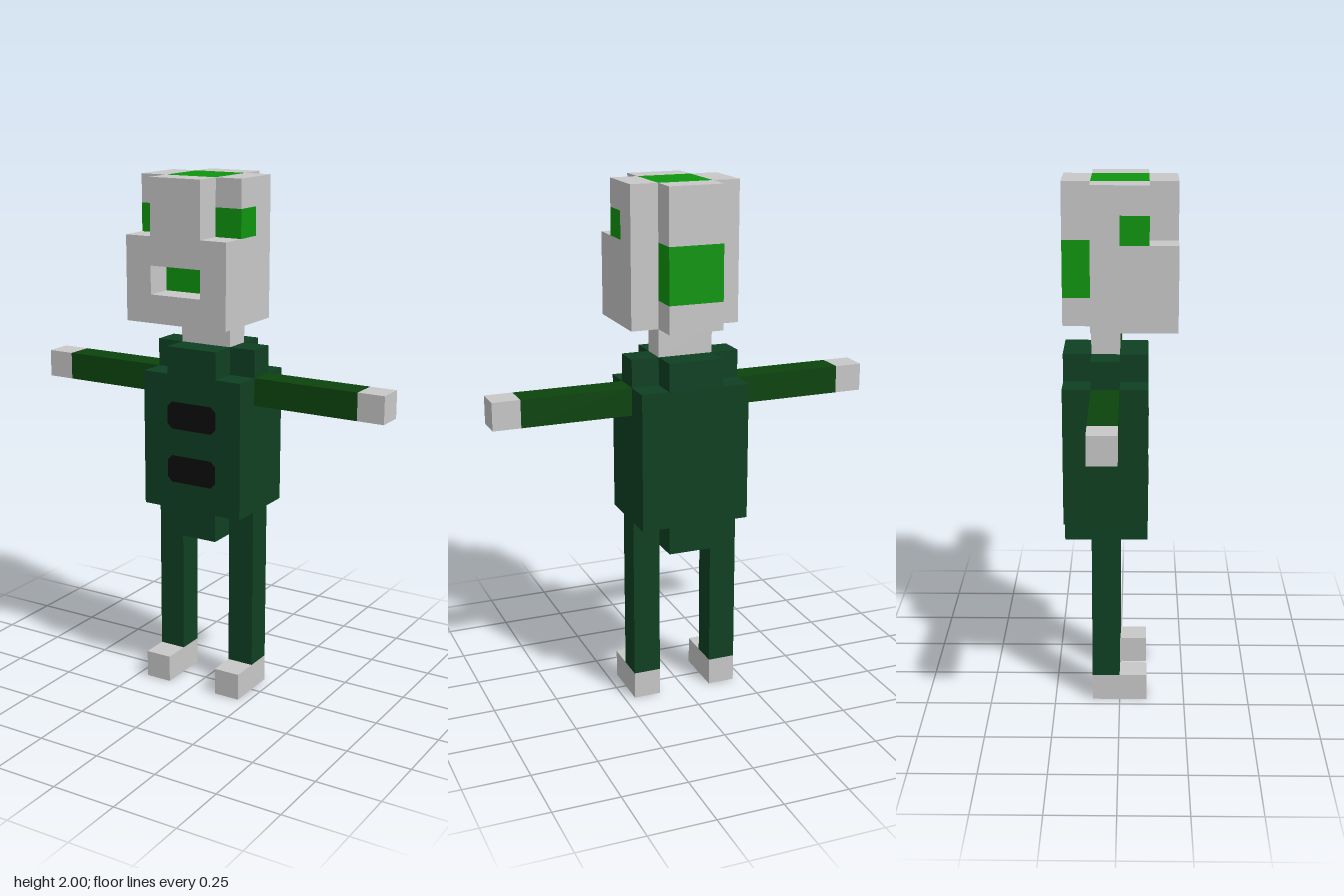
import * as THREE from 'three';

const U = 2 / 19; // one block; the figure is 19 blocks tall

const colour = (name, hex) => {
  const m = new THREE.MeshStandardMaterial({ color: hex });
  m.name = name;
  return m;
};

export function createModel() {
  const grey = colour('pale grey', 0xc8c8c8);
  const bright = colour('bright green', 0x0f960f);
  const suit = colour('dark teal green', 0x0f4022);
  const sleeve = colour('dark leaf green', 0x0c440e);
  const black = colour('black', 0x0d0d0f);
  const red = colour('red', 0xc02a10);

  const model = new THREE.Group();
  model.name = 'blockFigure';
  const part = (name) => {
    const g = new THREE.Group();
    g.name = name;
    model.add(g);
    return g;
  };

  // Box between two corners given in blocks
  const box = (parent, name, mat, [x0, x1], [y0, y1], [z0, z1]) => {
    const geo = new THREE.BoxGeometry((x1 - x0) * U, (y1 - y0) * U, (z1 - z0) * U);
    const mesh = new THREE.Mesh(geo, mat);
    mesh.name = name;
    mesh.position.set(((x0 + x1) / 2) * U, ((y0 + y1) / 2) * U, ((z0 + z1) / 2) * U);
    parent.add(mesh);
  };
  // The same box on both sides
  const pair = (parent, name, mat, [x0, x1], y, z) => {
    box(parent, name + 'Left', mat, [x0, x1], y, z);
    box(parent, name + 'Right', mat, [-x1, -x0], y, z);
  };

  // Legs and feet
  const legs = part('legs');
  pair(legs, 'foot', grey, [1, 2], [0, 1], [-1, 1]);
  pair(legs, 'leg', suit, [1, 2], [1, 7], [-1, 0]);

  // Torso with notched corners at the hips and shoulders
  const torso = part('torso');
  box(torso, 'hipFront', suit, [-1, 1], [6, 7], [0, 1]);
  box(torso, 'hipBase', red, [-1, 1], [6, 7], [-1, 0]);
  box(torso, 'hipBack', suit, [-1, 1], [6, 7], [-2, -1]);
  box(torso, 'trunk', suit, [-2, 2], [7, 12], [-2, 1]);
  box(torso, 'collar', suit, [-1, 1], [12, 13], [-2, 1]);
  pair(torso, 'shoulder', suit, [1, 2], [12, 13], [-1, 0]);

  // Chest patches with clipped corners
  const w = U, h = U / 2, c = 0.02;
  const outline = [
    [-w + c, -h], [w - c, -h], [w, -h + c], [w, h - c],
    [w - c, h], [-w + c, h], [-w, h - c], [-w, -h + c],
  ].map(([x, y]) => new THREE.Vector2(x, y));
  const patchGeo = new THREE.ExtrudeGeometry(new THREE.Shape(outline), { depth: 0.004, bevelEnabled: false });
  [8.5, 10.5].forEach((y, i) => {
    const patch = new THREE.Mesh(patchGeo, black);
    patch.name = i ? 'upperChestPatch' : 'lowerChestPatch';
    patch.position.set(0, y * U, U - 0.002);
    torso.add(patch);
  });

  // Arms and hands
  const arms = part('arms');
  pair(arms, 'arm', sleeve, [2, 6], [11, 12], [-1, 0]);
  pair(arms, 'hand', grey, [6, 7], [11, 12], [-1, 0]);

  // Neck and lower head, with the mouth set one block deep
  const head = part('head');
  box(head, 'neck', grey, [-1, 1], [13, 14], [-1, 0]);
  box(head, 'chin', grey, [-2, 2], [14, 15], [-1, 2]);
  pair(head, 'cheek', grey, [1, 2], [15, 16], [-1, 2]);
  box(head, 'mouth', bright, [-1, 1], [15, 16], [-1, 1]);
  box(head, 'upperJaw', grey, [-2, 2], [16, 17], [-1, 2]);

  // Upper head: brow, eyes in open sockets, coloured crown
  box(head, 'brow', grey, [-1, 1], [17, 19], [1, 2]);
  box(head, 'skullCore', grey, [-1, 1], [17, 18], [-1, 1]);
  pair(head, 'eye', bright, [1, 2], [17, 18], [0, 1]);
  pair(head, 'temple', grey, [1, 2], [17, 18], [-1, 0]);
  pair(head, 'skullTop', grey, [1, 2], [18, 19], [-1, 1]);
  box(head, 'crown', bright, [-1, 1], [18, 19], [-1, 1]);

  // Back of the head with its wide band
  box(head, 'nape', grey, [-1, 1], [14, 15], [-2, -1]);
  box(head, 'backBand', bright, [-1, 1], [15, 17], [-2, -1]);
  box(head, 'backSkull', grey, [-1, 1], [17, 19], [-2, -1]);

  return model;
}
